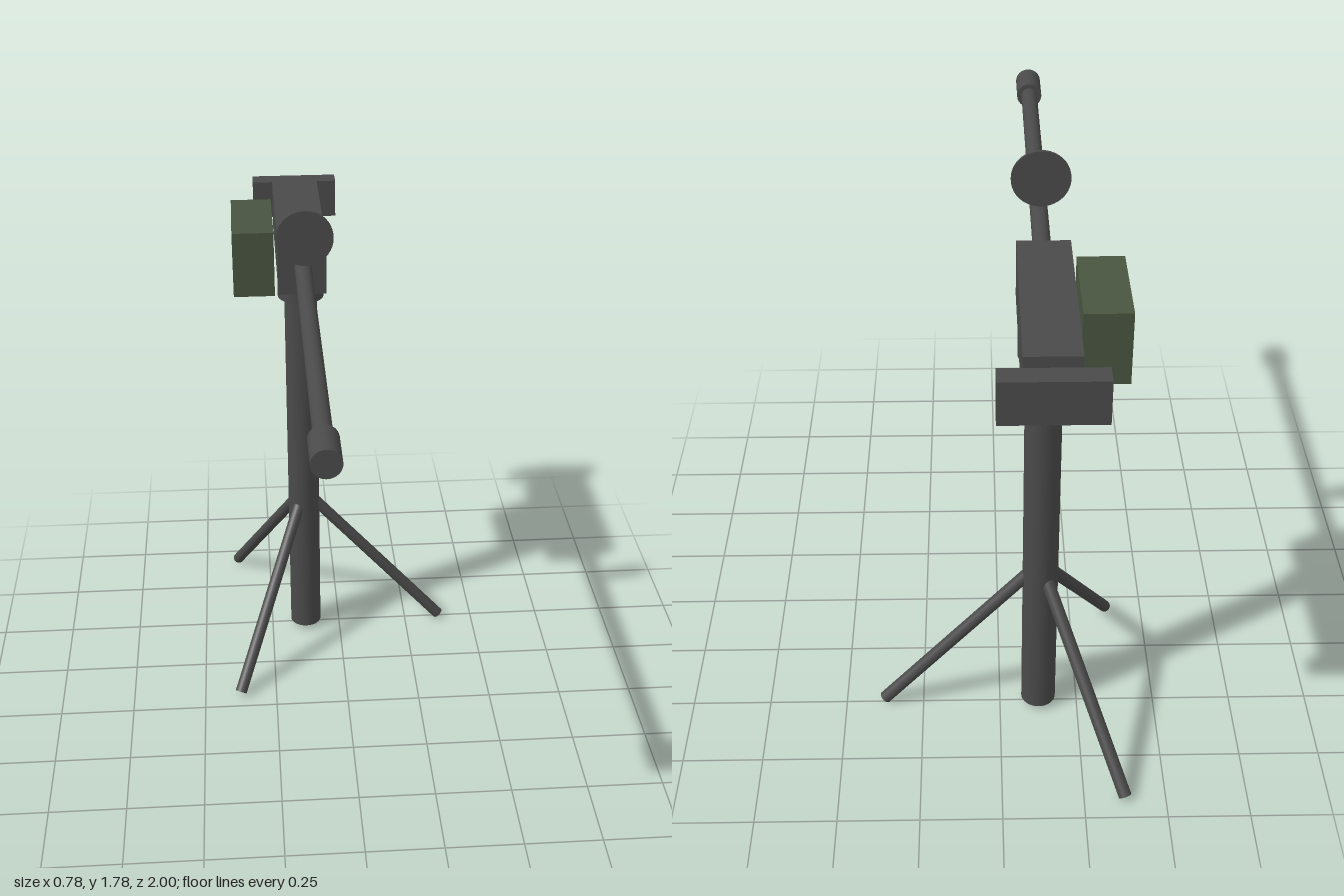
import * as THREE from 'three';

export function createModel() {
  const model = new THREE.Group();
  const mat = (name, color) => {
    const m = new THREE.MeshStandardMaterial({ color });
    m.name = name;
    return m;
  };
  const steel = mat('dark steel', 0x4a4a4a);
  const olive = mat('olive green', 0x495440);

  const X = -0.125, Z = -0.495; // pedestal axis

  const box = (name, m, [x0, x1], [y0, y1], [z0, z1]) => {
    const mesh = new THREE.Mesh(new THREE.BoxGeometry(x1 - x0, y1 - y0, z1 - z0), m);
    mesh.position.set((x0 + x1) / 2, (y0 + y1) / 2, (z0 + z1) / 2);
    mesh.name = name;
    model.add(mesh);
  };
  // Capped cylinder between two points
  const rod = (name, r, from, to, sides = 32) => {
    const a = new THREE.Vector3(...from), b = new THREE.Vector3(...to);
    const dir = b.clone().sub(a);
    const mesh = new THREE.Mesh(new THREE.CylinderGeometry(r, r, dir.length(), sides), steel);
    mesh.position.copy(a).add(b).multiplyScalar(0.5);
    mesh.quaternion.setFromUnitVectors(new THREE.Vector3(0, 1, 0), dir.normalize());
    mesh.name = name;
    model.add(mesh);
  };

  // Pedestal
  rod('post', 0.055, [X, 0.02, Z], [X, 1.36, Z]);
  rod('swivelCollar', 0.077, [X, 1.34, Z], [X, 1.43, Z]);

  // Three splayed legs
  for (let i = 0; i < 3; i++) {
    const a = (i * Math.PI * 2) / 3;
    const at = (r, y) => [X + r * Math.cos(a), y, Z + r * Math.sin(a)];
    rod('leg' + (i + 1), 0.02, at(0.04, 0.535), at(0.5, 0.015), 20);
  }

  // Body, rear plate and side box
  box('receiver', steel, [-0.203, -0.048], [1.425, 1.6], [-0.915, -0.305]);
  box('rearPlate', steel, [-0.27, 0.02], [1.45, 1.58], [-1, -0.935]);
  box('sideBox', olive, [-0.348, -0.213], [1.38, 1.6], [-0.71, -0.4]);

  // Barrel, muzzle and floating disc sight
  rod('barrel', 0.027, [X, 1.537, -0.31], [X, 1.537, 0.9]);
  rod('muzzle', 0.042, [X, 1.537, 0.867], [X, 1.537, 1]);
  rod('discSight', 0.088, [X, 1.695, -0.11], [X, 1.695, -0.101], 40);

  return model;
}
